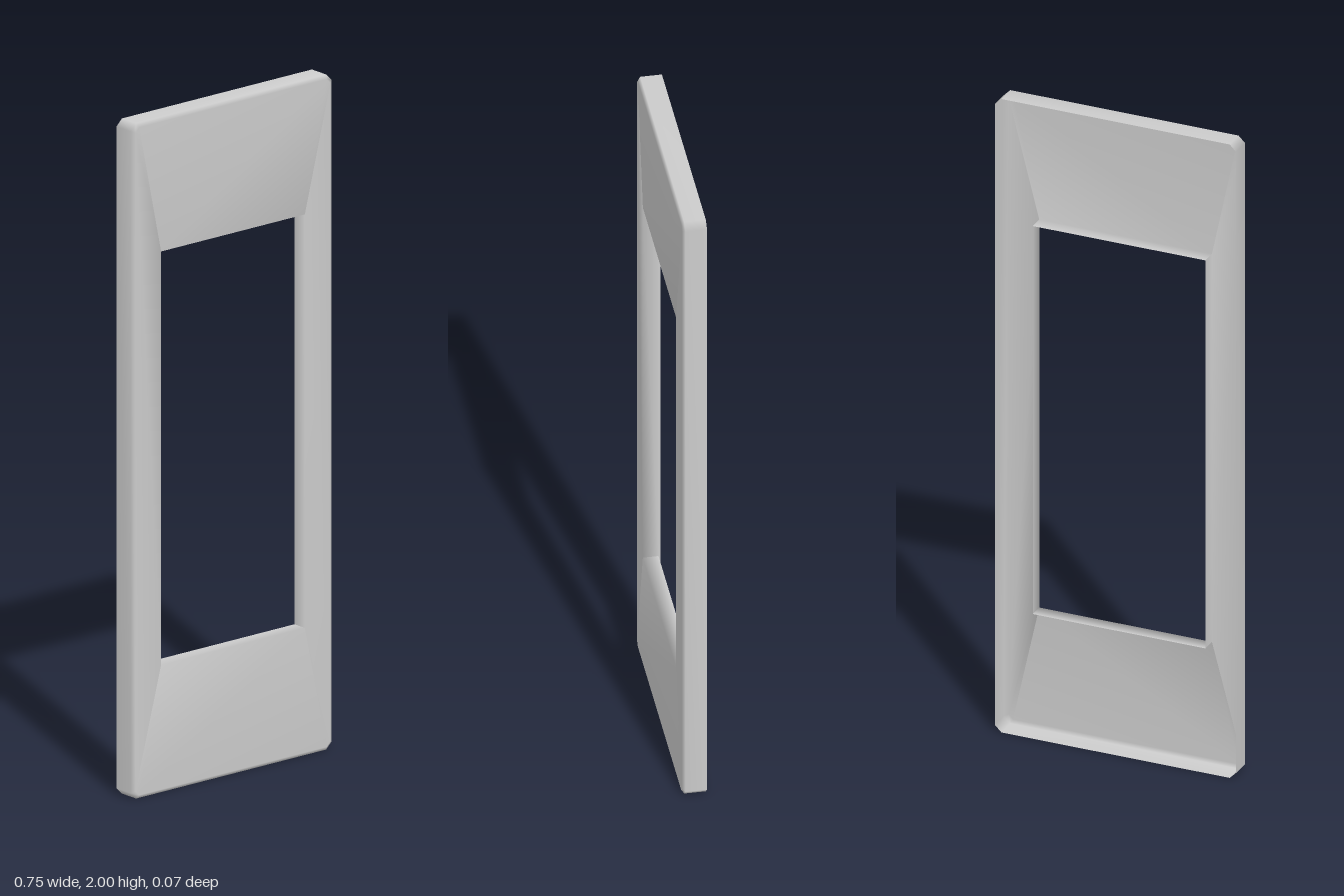
import * as THREE from 'three';

// Octagonal loop: a rectangle with cut corners, counter-clockwise from the front.
function loop(x, y0, y1, cut, z) {
  return [
    [x, y0 + cut], [x, y1 - cut], [x - cut, y1], [-x + cut, y1],
    [-x, y1 - cut], [-x, y0 + cut], [-x + cut, y0], [x - cut, y0],
  ].map(([px, py]) => [px, py, z]);
}

// Join successive loops with a smooth-shaded skin.
function skin(loops) {
  const n = loops[0].length;
  const index = [];
  for (let r = 0; r < loops.length - 1; r++) {
    for (let i = 0; i < n; i++) {
      const a = r * n + i, b = r * n + (i + 1) % n;
      index.push(a, b, b + n, a, b + n, a + n);
    }
  }
  const geometry = new THREE.BufferGeometry();
  geometry.setAttribute('position', new THREE.Float32BufferAttribute(loops.flat(2), 3));
  geometry.setIndex(index);
  geometry.computeVertexNormals();
  return geometry;
}

export function createModel() {
  const group = new THREE.Group();
  group.name = 'coverPlate';
  const material = new THREE.MeshStandardMaterial({ color: 0xcccccc, side: THREE.DoubleSide });

  // Thin open-backed shell: outer wall, bevel, front face, lip around the opening
  const frame = new THREE.Mesh(skin([
    loop(0.373, 0, 2, 0.02, -0.035),
    loop(0.373, 0, 2, 0.02, 0.027),
    loop(0.362, 0.011, 1.989, 0.014, 0.035),
    loop(0.267, 0.38, 1.605, 0, 0.035),
    loop(0.267, 0.38, 1.605, 0, -0.01),
  ]), material);
  frame.name = 'frameShell';
  group.add(frame);
  return group;
}
